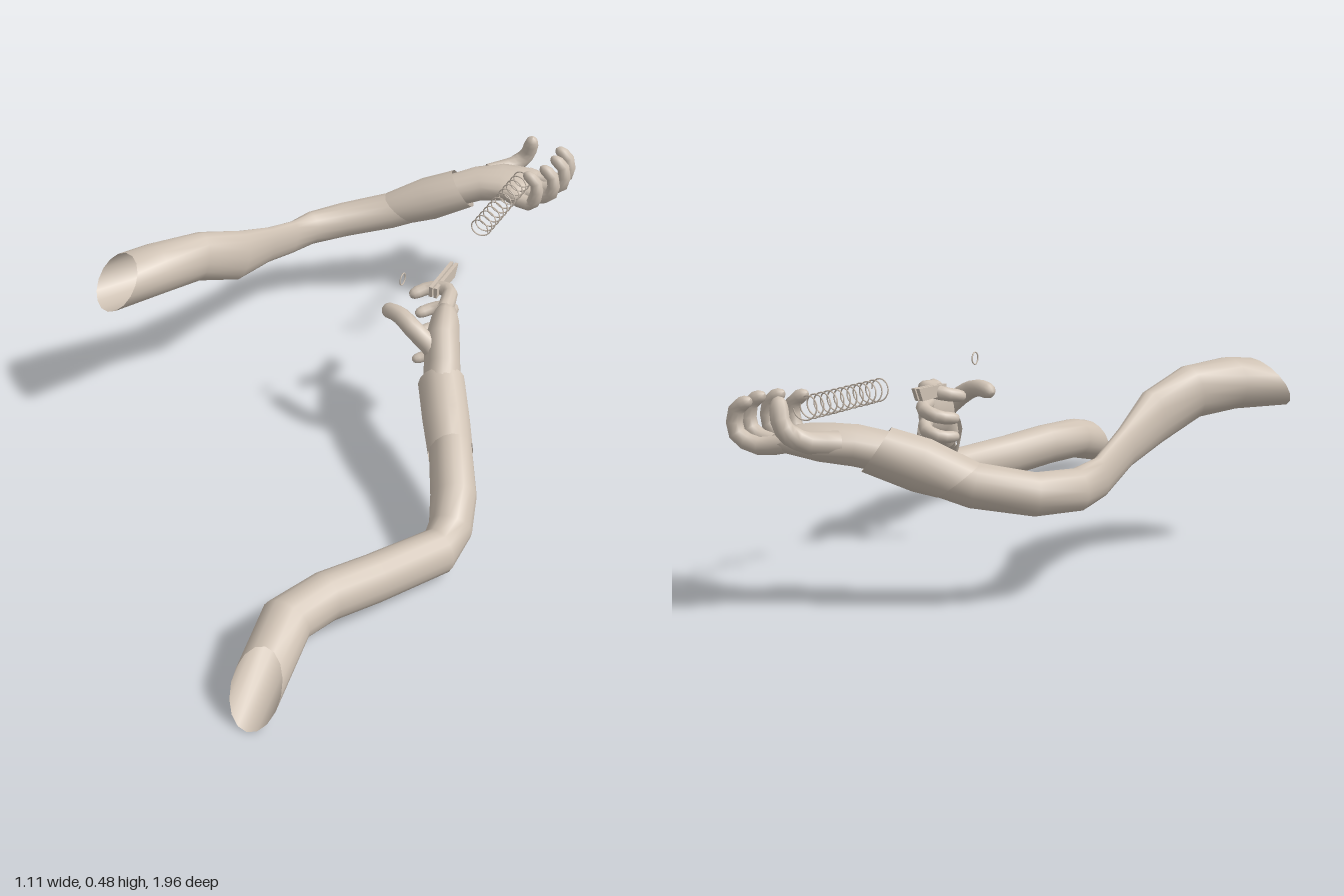
import * as THREE from 'three';

const skin = new THREE.MeshStandardMaterial({ color: 0xcfc2b4, side: THREE.DoubleSide });
skin.name = 'warm beige';

const Y = new THREE.Vector3(0, 1, 0);
const X = new THREE.Vector3(1, 0, 0);
const Z = new THREE.Vector3(0, 0, 1);

// Skin through elliptical rings [x, y, z, halfWidth, halfHeight, shear]
function loft(name, rings, up = Y, sides = 16) {
  const pts = rings.map(r => new THREE.Vector3(r[0], r[1], r[2]));
  const pos = [], idx = [];
  rings.forEach((r, i) => {
    const a = pts[Math.max(i - 1, 0)], b = pts[Math.min(i + 1, pts.length - 1)];
    const t = b.clone().sub(a).normalize();
    const side = new THREE.Vector3().crossVectors(t, up).normalize();
    const top = new THREE.Vector3().crossVectors(side, t);
    for (let k = 0; k < sides; k++) {
      const ang = k / sides * Math.PI * 2, s = Math.sin(ang);
      const p = pts[i].clone().addScaledVector(side, Math.cos(ang) * r[3])
        .addScaledVector(top, s * r[4]).addScaledVector(t, s * (r[5] || 0));
      pos.push(p.x, p.y, p.z);
      if (i < rings.length - 1) {
        const n = (k + 1) % sides, o = i * sides;
        idx.push(o + k, o + n, o + sides + k, o + n, o + sides + n, o + sides + k);
      }
    }
  });
  const g = new THREE.BufferGeometry();
  g.setAttribute('position', new THREE.Float32BufferAttribute(pos, 3));
  g.setIndex(idx);
  g.computeVertexNormals();
  const mesh = new THREE.Mesh(g, skin);
  mesh.name = name;
  return mesh;
}

// Tapered finger with a rounded tip
function finger(name, points, r, up) {
  const curve = new THREE.CatmullRomCurve3(points.map(p => new THREE.Vector3(...p)));
  const rings = [0, 0.12, 0.25, 0.38, 0.5, 0.62, 0.75, 0.87, 0.94, 0.98, 1].map(t => {
    const p = curve.getPoint(t);
    const rad = r * (1 - 0.25 * t) * (t > 0.87 ? Math.sqrt(Math.max(0.001, 1 - ((t - 0.87) / 0.13) ** 2)) : 1);
    return [p.x, p.y, p.z, rad, rad];
  });
  return loft(name, rings, up, 10);
}

// Rear arm, reaching across with the palm up
function rearArm() {
  const g = new THREE.Group();
  g.name = 'rearArm';
  g.add(loft('rearSleeve', [
    [-0.485, 0.42, 0.13, 0.078, 0.06, 0.05],
    [-0.425, 0.425, 0.03, 0.07, 0.064],
    [-0.37, 0.415, -0.08, 0.047, 0.066],
    [-0.322, 0.367, -0.2, 0.039, 0.068],
    [-0.317, 0.32, -0.35, 0.025, 0.05],
    [-0.315, 0.275, -0.48, 0.021, 0.048],
    [-0.302, 0.262, -0.57, 0.037, 0.048],
    [-0.24, 0.262, -0.655, 0.05, 0.048],
    [-0.13, 0.285, -0.725, 0.053, 0.05],
    [-0.06, 0.31, -0.755, 0.05, 0.048],
  ]));
  g.add(loft('rearCuff', [
    [-0.1, 0.296, -0.738, 0.055, 0.052, -0.03],
    [-0.03, 0.328, -0.77, 0.063, 0.06],
    [0.055, 0.362, -0.812, 0.065, 0.055, -0.015],
    [0.05, 0.36, -0.81, 0.05, 0.045],
  ].slice(0, 3)));
  g.add(loft('rearPalm', [
    [0.03, 0.355, -0.8, 0.05, 0.045],
    [0.09, 0.373, -0.84, 0.058, 0.045],
    [0.15, 0.38, -0.868, 0.08, 0.04],
    [0.2, 0.384, -0.872, 0.086, 0.032],
    [0.232, 0.386, -0.872, 0.08, 0.024],
    [0.24, 0.387, -0.872, 0.002, 0.002],
  ]));
  // z of the base, z of the tip, reach in x, rise in y
  [[-0.802, -0.79, -0.03, 0], [-0.848, -0.835, 0, 0.005],
    [-0.893, -0.895, 0.008, 0.008], [-0.935, -0.955, 0, 0.005]].forEach(([z0, z1, dx, dy], i) => {
    const zm = (z0 + z1) / 2;
    g.add(finger('rearFinger' + (i + 1), [
      [0.2, 0.384, z0], [0.26, 0.375, zm], [0.308 + dx, 0.4, z1],
      [0.308 + dx, 0.445 + dy, z1], [0.27 + dx, 0.47 + dy, z1]], 0.021, Z));
  });
  g.add(finger('rearThumb', [[0.1, 0.385, -0.89], [0.15, 0.395, -0.952],
    [0.18, 0.425, -0.973], [0.197, 0.487, -0.962]], 0.026, X));
  return g;
}

// Front arm, bent at the elbow with pinching fingers
function frontArm() {
  const g = new THREE.Group();
  g.name = 'frontArm';
  g.add(loft('frontSleeve', [
    [0.345, 0.085, 0.91, 0.057, 0.06, 0.07],
    [0.322, 0.122, 0.73, 0.06, 0.058],
    [0.36, 0.118, 0.62, 0.054, 0.059],
    [0.42, 0.1, 0.5, 0.052, 0.06],
    [0.504, 0.081, 0.325, 0.05, 0.06],
    [0.505, 0.102, 0.26, 0.052, 0.062],
    [0.48, 0.14, 0.19, 0.055, 0.067],
    [0.425, 0.192, 0.09, 0.052, 0.062],
    [0.395, 0.215, 0.04, 0.048, 0.056],
  ]));
  g.add(loft('frontCuff', [
    [0.43, 0.187, 0.1, 0.055, 0.064, 0.02],
    [0.385, 0.227, 0.03, 0.058, 0.064],
    [0.335, 0.268, -0.05, 0.058, 0.06, 0.01],
  ]));
  g.add(loft('frontPalm', [
    [0.345, 0.258, -0.03, 0.047, 0.054],
    [0.322, 0.295, -0.08, 0.045, 0.062],
    [0.3, 0.332, -0.125, 0.044, 0.07],
    [0.285, 0.347, -0.175, 0.037, 0.072],
    [0.277, 0.353, -0.205, 0.026, 0.062],
    [0.275, 0.356, -0.215, 0.002, 0.004],
  ]));
  [
    [[0.283, 0.395, -0.175], [0.262, 0.404, -0.245], [0.208, 0.395, -0.247], [0.172, 0.385, -0.205]],
    [[0.285, 0.365, -0.18], [0.267, 0.352, -0.25], [0.222, 0.337, -0.25], [0.188, 0.33, -0.21]],
    [[0.285, 0.33, -0.175], [0.268, 0.302, -0.24], [0.225, 0.286, -0.238], [0.198, 0.283, -0.195]],
    [[0.287, 0.3, -0.16], [0.268, 0.252, -0.21], [0.23, 0.22, -0.21], [0.197, 0.21, -0.18]],
  ].forEach((p, i) => g.add(finger('frontFinger' + (i + 1), p, 0.021 - i * 0.001)));
  g.add(finger('frontThumb', [[0.305, 0.325, -0.085], [0.24, 0.375, -0.085],
    [0.19, 0.392, -0.105], [0.14, 0.385, -0.122]], 0.026));
  return g;
}

export function createModel() {
  const model = new THREE.Group();
  model.name = 'twoArmsWithSpring';
  model.add(rearArm(), frontArm());

  // Coil spring running back into the rear hand
  const turns = 12, coil = [];
  for (let i = 0; i <= turns * 14; i++) {
    const a = i / 14 * Math.PI * 2;
    coil.push(new THREE.Vector3(0.232 + 0.026 * Math.cos(a), 0.438 + 0.026 * Math.sin(a), -0.5 - 0.32 * i / (turns * 14)));
  }
  const spring = new THREE.Mesh(new THREE.TubeGeometry(new THREE.CatmullRomCurve3(coil), turns * 20, 0.0018, 5), skin);
  spring.name = 'spring';
  model.add(spring);

  // Small wire ring above the thumb
  const ring = new THREE.Mesh(new THREE.TorusGeometry(0.015, 0.0018, 6, 24), skin);
  ring.name = 'wireRing';
  ring.rotation.y = Math.PI / 2;
  ring.position.set(0.18, 0.472, -0.142);
  model.add(ring);

  // Two-jawed clip held by the front hand
  const jaw = new THREE.Shape([[0.22, 0.388], [0.335, 0.388], [0.352, 0.42], [0.22, 0.416]]
    .map(p => new THREE.Vector2(...p)));
  const jawGeo = new THREE.ExtrudeGeometry(jaw, { depth: 0.009, bevelEnabled: false });
  jawGeo.rotateY(Math.PI / 2);
  [0.218, 0.231].forEach((x, i) => {
    const m = new THREE.Mesh(jawGeo, skin);
    m.name = 'clipJaw' + (i + 1);
    m.position.x = x;
    model.add(m);
  });
  return model;
}
